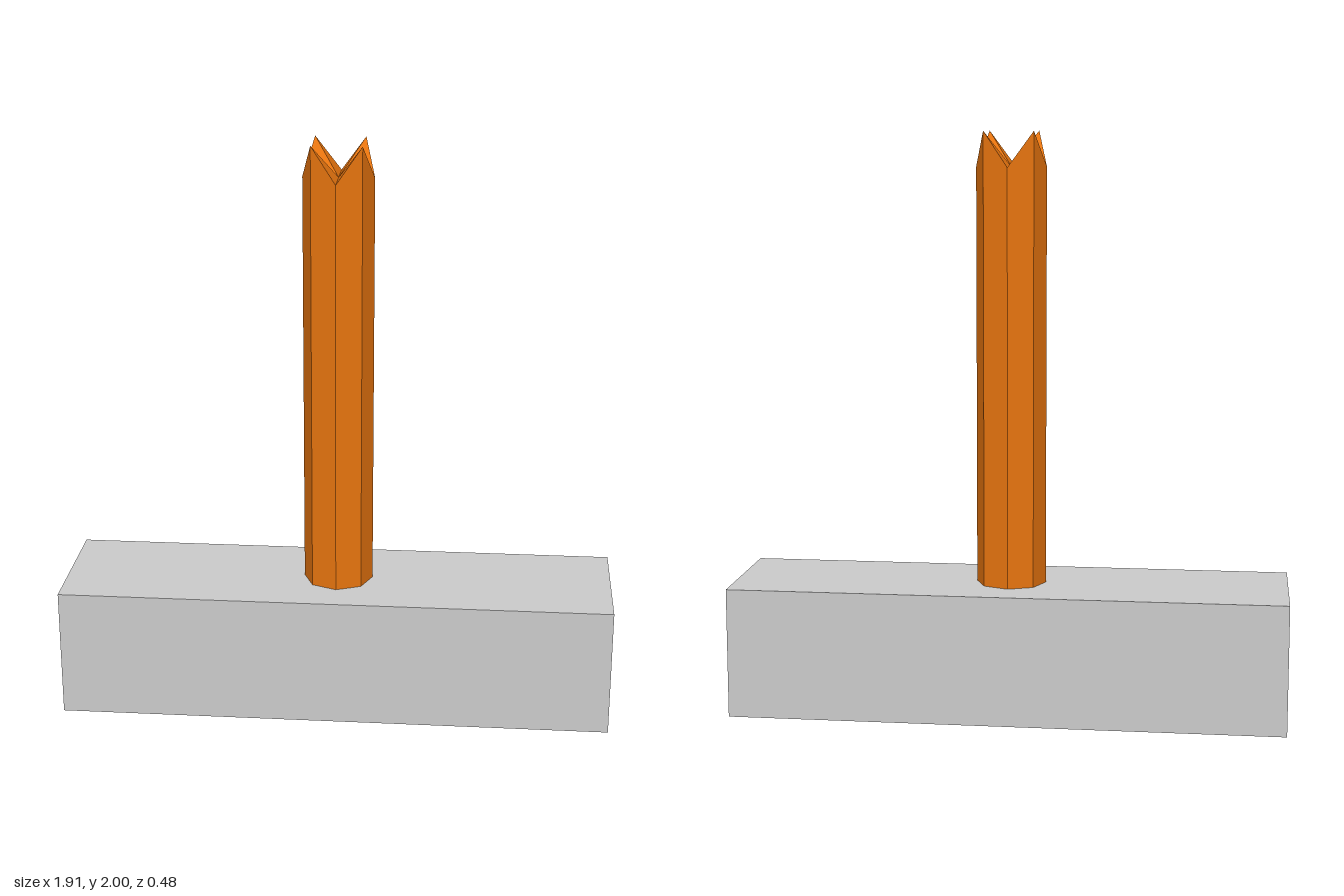
import * as THREE from 'three';

const BASE = { width: 1.91, height: 0.45, depth: 0.48 };
const RADIUS = 0.12;
const NOTCH_Y = 1.88;
const PEAK_Y = 2;

export function createModel() {
  const model = new THREE.Group();
  model.name = 'hammer';

  // Block head, lying on the ground
  const head = new THREE.Mesh(
    new THREE.BoxGeometry(BASE.width, BASE.height, BASE.depth),
    new THREE.MeshStandardMaterial({ color: 0xcccccc, flatShading: true })
  );
  head.name = 'head';
  head.position.y = BASE.height / 2;
  model.add(head);

  // Eight-sided handle standing on the head
  const length = NOTCH_Y - BASE.height;
  const geometry = new THREE.CylinderGeometry(RADIUS, RADIUS, length, 8);
  geometry.translate(0, BASE.height + length / 2, 0);

  // Raise the four diagonal corners of the top into points
  const pos = geometry.attributes.position;
  for (let i = 0; i < pos.count; i++) {
    const diagonal = Math.abs(pos.getX(i) * pos.getZ(i)) > 0.001;
    if (diagonal && pos.getY(i) > 1) pos.setY(i, PEAK_Y);
  }
  geometry.computeVertexNormals();

  const handle = new THREE.Mesh(
    geometry,
    new THREE.MeshStandardMaterial({ color: 0xe8750f, flatShading: true })
  );
  handle.name = 'handle';
  model.add(handle);

  return model;
}
